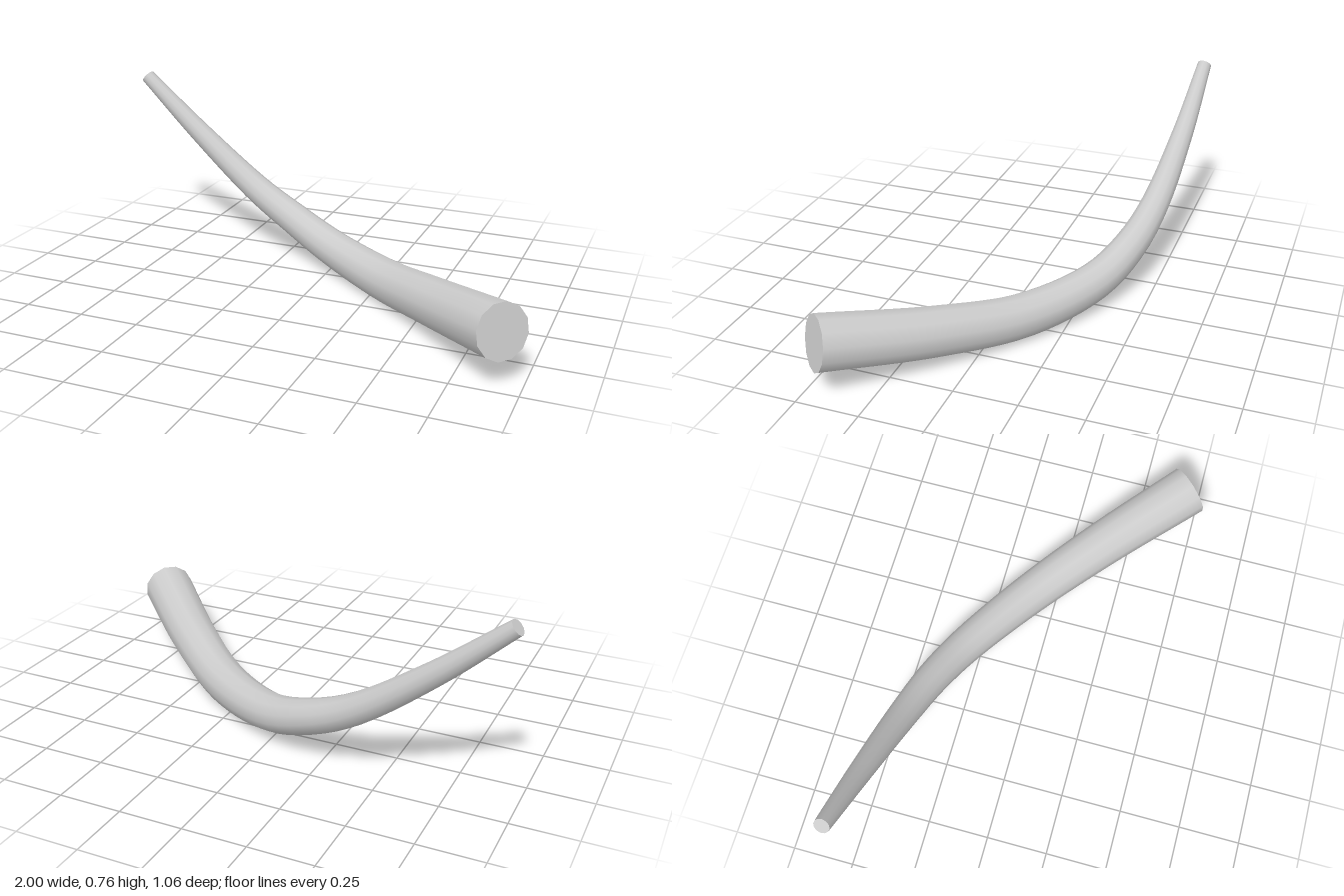
import * as THREE from 'three';

const SIDES = 12, STEPS = 40;

export function createModel() {
  const group = new THREE.Group();
  group.name = 'curvedHorn';
  const material = new THREE.MeshStandardMaterial({ color: 0xcccccc });

  // Centre line from the thin tip to the thick base
  const path = new THREE.CatmullRomCurve3([
    [-0.98, 0.742, -0.502], [-0.7, 0.506, -0.478], [-0.4, 0.287, -0.437],
    [-0.2, 0.188, -0.388], [0, 0.12, -0.305], [0.3, 0.094, -0.113],
    [0.6, 0.14, 0.14], [0.92, 0.217, 0.45],
  ].map((p) => new THREE.Vector3(...p)));
  const radiusAt = (t) => 0.031 + 0.077 * t + 0.03 * t * (1 - t);

  // Tapered body: a tube whose rings are rescaled along its length
  const body = new THREE.TubeGeometry(path, STEPS, 1, SIDES);
  const pos = body.attributes.position, nor = body.attributes.normal;
  const point = new THREE.Vector3(), normal = new THREE.Vector3();
  for (let i = 0; i < pos.count; i++) {
    const t = Math.floor(i / (SIDES + 1)) / STEPS;
    normal.fromBufferAttribute(nor, i);
    point.copy(path.getPointAt(t)).addScaledVector(normal, radiusAt(t));
    pos.setXYZ(i, point.x, point.y, point.z);
  }
  const bodyMesh = new THREE.Mesh(body, material);
  bodyMesh.name = 'hornBody';
  group.add(bodyMesh);

  // Flat end caps, fanned from the first and last rings
  const addCap = (name, step, outward) => {
    const ring = [];
    for (let j = 0; j < SIDES; j++) {
      ring.push(new THREE.Vector3().fromBufferAttribute(pos, step * (SIDES + 1) + j));
    }
    const centre = path.getPointAt(step / STEPS);
    const turn = ring[0].clone().sub(centre).cross(ring[1].clone().sub(centre));
    if (turn.dot(outward) < 0) ring.reverse();
    const corners = ring.flatMap((p, j) => [centre, p, ring[(j + 1) % SIDES]]);
    const geometry = new THREE.BufferGeometry().setFromPoints(corners);
    geometry.computeVertexNormals();
    const cap = new THREE.Mesh(geometry, material);
    cap.name = name;
    group.add(cap);
  };
  addCap('tipCap', 0, path.getTangentAt(0).negate());
  addCap('baseCap', STEPS, path.getTangentAt(1));

  return group;
}
